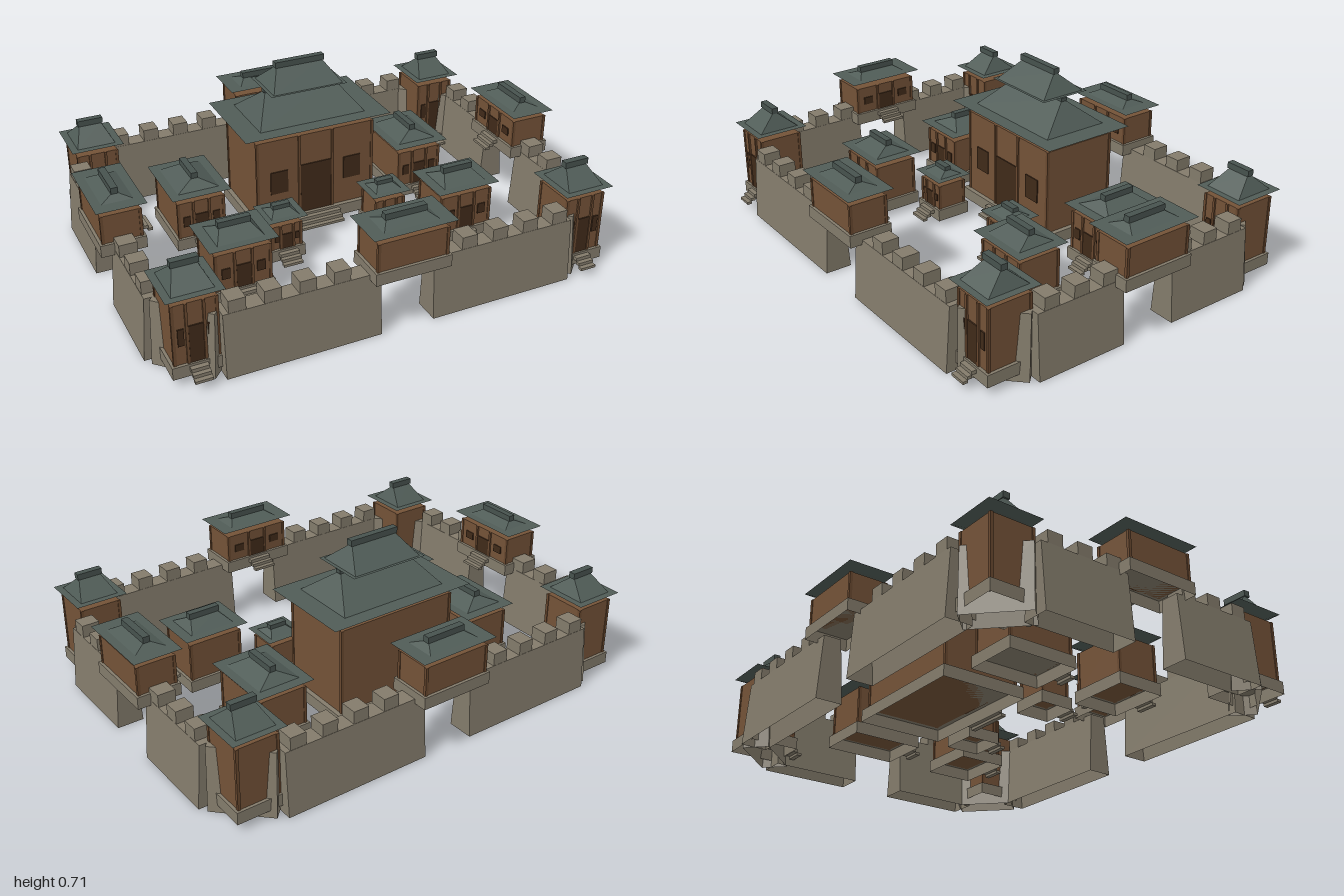
import * as THREE from 'three';

const mat = (name, color) => Object.assign(new THREE.MeshStandardMaterial({ color }), { name });

export function createModel() {
  const stone = mat('stone', 0x837b6b);
  stone.side = THREE.DoubleSide; // plinths and ramparts are hollow underneath
  const timber = mat('timber', 0x735237);
  const post = mat('post', 0x68482f);
  const tile = mat('roofTile', 0x505c57);
  const ridgeTile = mat('ridgeTile', 0x47524e);
  const dark = mat('darkWood', 0x402a19);

  const root = new THREE.Group();
  root.name = 'walledFortress';

  const add = (parent, name, geometry, material) => {
    const m = new THREE.Mesh(geometry, material);
    m.name = name;
    parent.add(m);
    return m;
  };

  // Box from half sizes, standing between two heights
  const block = (parent, name, hx, hz, y0, y1, material, x = 0, z = 0) => {
    const m = add(parent, name, new THREE.BoxGeometry(hx * 2, y1 - y0, hz * 2), material);
    m.position.set(x, (y0 + y1) / 2, z);
    return m;
  };

  // Tapered box: half sizes [hx, hz] at the bottom and at the top
  const frustum = (parent, name, low, high, y0, y1, material) => {
    const g = new THREE.BoxGeometry(2, y1 - y0, 2);
    const p = g.attributes.position;
    for (let i = 0; i < p.count; i++) {
      const s = p.getY(i) > 0 ? high : low;
      p.setX(i, p.getX(i) * s[0]);
      p.setZ(i, p.getZ(i) * s[1]);
    }
    g.computeVertexNormals();
    const m = add(parent, name, g, material);
    m.position.y = (y0 + y1) / 2;
    return m;
  };

  // Drop the bottom face of a box (its fourth side)
  const openBelow = (mesh) => {
    const index = Array.from(mesh.geometry.index.array);
    index.splice(18, 6);
    mesh.geometry.setIndex(index);
    mesh.geometry.clearGroups();
  };

  // Upturned flat eave, hipped roof and ridge beam
  const roof = (parent, r) => {
    const [ex, ez] = r.eave;
    frustum(parent, 'eave', [ex - 0.035, ez - 0.035], r.eave, r.y - (r.lip ?? 0.014), r.y, tile);
    const ridge = r.alongZ ? [0.006, r.ridge] : [r.ridge, 0.006];
    frustum(parent, 'hipRoof', r.hip, ridge, r.y, r.top, tile);
    const beam = ridge.map((v) => (v < 0.01 ? 0.014 : v + 0.008));
    block(parent, 'ridgeBeam', beam[0], beam[1], r.top - 0.003, r.top + (r.beam ?? 0.022), ridgeTile);
  };

  // Timber building on a plinth, with steps and doorway on local +z
  const building = (name, x, z, o) => {
    const g = new THREE.Group();
    g.name = name;
    g.position.set(x, 0, z);
    g.rotation.y = o.turn ?? 0;
    root.add(g);
    const [bx, bz] = o.body;
    const lip = o.lip ?? 0.012;
    const y0 = o.base, floor = y0 + 0.05, h = o.wallTop - floor;

    openBelow(block(g, 'plinth', bx + lip, bz + lip, y0, floor, stone));
    block(g, 'walls', bx, bz, floor, o.wallTop, timber);

    for (let i = 0; i < 3; i++) {
      block(g, 'step', o.step, 0.01, y0 + 0.025 - i * 0.012, y0 + 0.04 - i * 0.014,
        stone, 0, bz + lip + 0.01 + i * 0.018);
    }
    const dw = o.door;
    block(g, 'door', dw, 0.003, floor, floor + h * 0.62, dark, 0, bz + 0.002);
    for (const s of [-1, 1]) {
      const wx = s * (dw + bx) / 2;
      block(g, 'window', (bx - dw) * 0.2, 0.003, floor + h * 0.32, floor + h * 0.6, dark, wx, bz + 0.002);
      block(g, 'doorPost', 0.005, 0.005, floor, o.wallTop, post, s * (dw + 0.006), bz + 0.002);
      for (const t of [-1, 1]) {
        block(g, 'cornerPost', 0.006, 0.006, floor, o.wallTop, post, s * (bx - 0.003), t * (bz - 0.003));
      }
    }
    o.roofs.forEach((r) => roof(g, r));
  };

  // Wall battered on both faces, centred on (x, z), outer face on local +z
  const rampart = (name, x, z, length, turn, merlons) => {
    const g = new THREE.Group();
    g.name = name;
    g.position.set(x, 0, z);
    g.rotation.y = turn;
    root.add(g);
    openBelow(frustum(g, 'wall', [length / 2, 0.055], [length / 2, 0.037], 0, 0.265, stone));
    for (const m of merlons) block(g, 'merlon', 0.033, 0.036, 0.262, 0.316, stone, m);
  };

  // Great hall with a double roof
  building('greatHall', 0, -0.245, {
    body: [0.265, 0.164], lip: 0.02, base: 0.03, wallTop: 0.443, step: 0.1, door: 0.07,
    roofs: [
      { eave: [0.326, 0.208], hip: [0.237, 0.145], y: 0.482, top: 0.592, ridge: 0.155, beam: 0.012 },
      { eave: [0.17, 0.112], hip: [0.155, 0.1], y: 0.611, top: 0.692, ridge: 0.102, lip: 0.008 },
    ],
  });

  // Gatehouses: doors face the courtyard
  const gate = (name, x, z, turn) => building(name, x, z, {
    body: [0.145, 0.078], base: 0.246, wallTop: 0.413, step: 0.05, door: 0.035, turn,
    roofs: [{ eave: [0.172, 0.098], hip: [0.115, 0.062], y: 0.444, top: 0.466, ridge: 0.078 }],
  });
  gate('frontGatehouse', 0, 0.673, Math.PI);
  gate('backGatehouse', 0, -0.678, 0);

  for (const s of [-1, 1]) {
    const side = s > 0 ? 'left' : 'right';
    gate(side + 'Gatehouse', s * 0.902, 0, -s * Math.PI / 2);

    building(side + 'LongHouse', s * 0.507, -0.235, {
      body: [0.1, 0.138], base: 0.03, wallTop: 0.24, step: 0.038, door: 0.028,
      roofs: [{ eave: [0.125, 0.162], hip: [0.088, 0.117], y: 0.272, top: 0.31, ridge: 0.065, alongZ: true }],
    });
    building(side + 'WideHouse', s * 0.493, 0.23, {
      body: [0.115, 0.092], base: 0.03, wallTop: 0.24, step: 0.042, door: 0.03,
      roofs: [{ eave: [0.141, 0.115], hip: [0.097, 0.08], y: 0.272, top: 0.31, ridge: 0.06 }],
    });
    building(side + 'SmallHouse', s * 0.235, 0.083, {
      body: [0.065, 0.063], base: 0.03, wallTop: 0.185, step: 0.042, door: 0.022,
      roofs: [{ eave: [0.087, 0.08], hip: [0.06, 0.053], y: 0.214, top: 0.237, ridge: 0.03, beam: 0.015 }],
    });

    for (const t of [-1, 1]) {
      building('cornerTower', s * 0.813, t * 0.587, {
        body: [0.085, 0.09], base: 0.03, wallTop: 0.33, step: 0.034, door: 0.027,
        roofs: [{ eave: [0.109, 0.114], hip: [0.08, 0.086], y: 0.362, top: 0.432, ridge: 0.045 }],
      });

      // Curtain walls: long, side and diagonal corner runs
      rampart(t > 0 ? 'frontWall' : 'backWall', s * 0.418, t * 0.675, 0.615, t > 0 ? 0 : Math.PI,
        [0.252, 0.117, -0.018, -0.153].map((v) => v * s * t));
      rampart(side + 'Wall', s * 0.902, t * 0.31, 0.385, s * Math.PI / 2,
        [0.13, 0, -0.13].map((v) => -v * s * t));
      rampart('cornerWall', s * 0.81, t * 0.58, 0.25, Math.atan2(s, t), []);
    }
  }
  return root;
}
